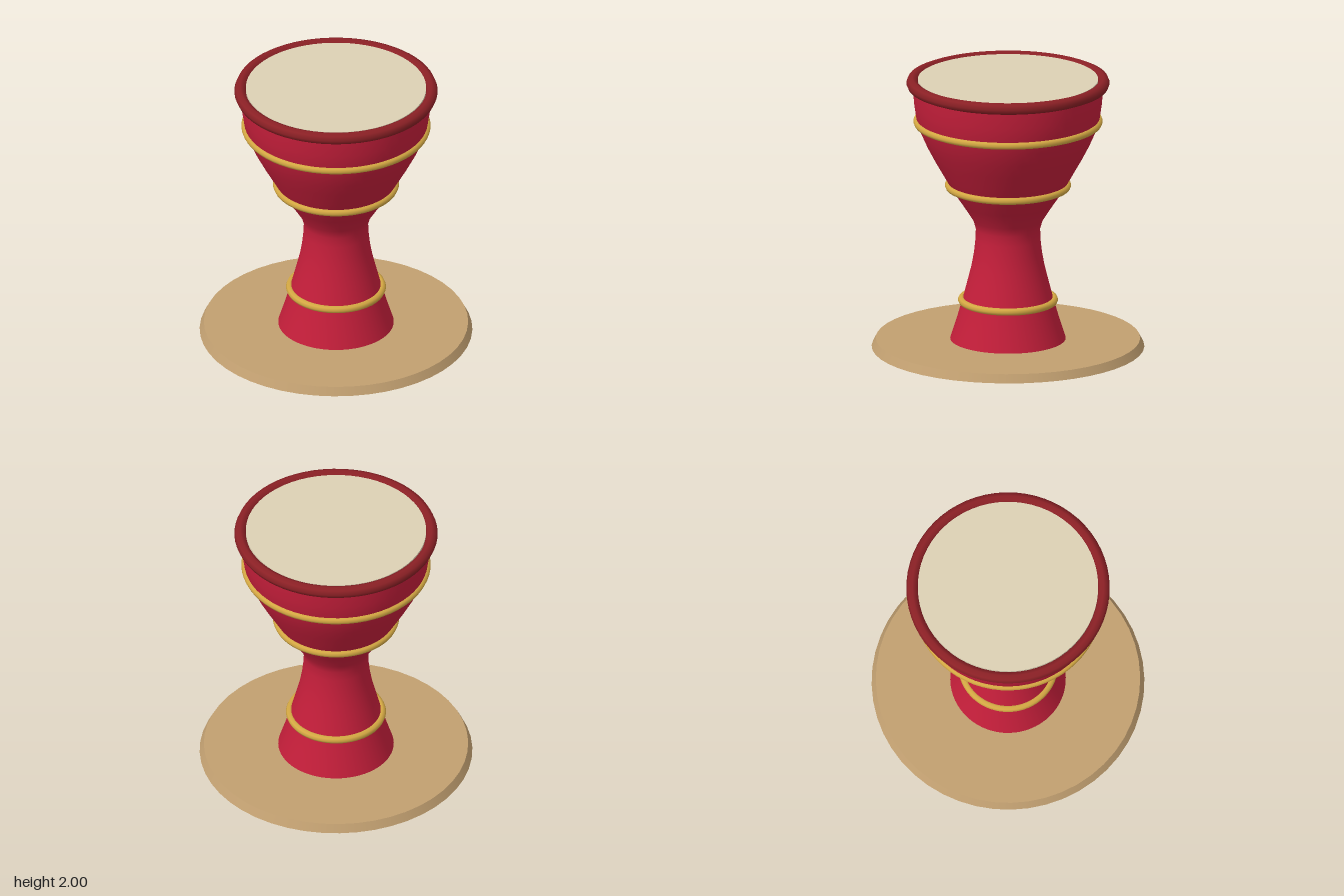
import * as THREE from 'three';

const mat = (name, color) => {
  const m = new THREE.MeshStandardMaterial({ color });
  m.name = name;
  return m;
};

export function createModel() {
  const group = new THREE.Group();
  const red = mat('crimson', 0xc41e3a);
  const darkRed = mat('dark red', 0x8b2025);
  const gold = mat('gold', 0xd4a843);
  const tan = mat('tan wood', 0xc19f70);
  const skin = mat('drum skin', 0xdcd0b4);

  const add = (name, geometry, material, y) => {
    const mesh = new THREE.Mesh(geometry, material);
    mesh.name = name;
    mesh.position.y = y;
    group.add(mesh);
    return mesh;
  };

  // Horizontal ring around the body
  const ring = (name, radius, tube, material, y) =>
    add(name, new THREE.TorusGeometry(radius, tube, 8, 64).rotateX(Math.PI / 2), material, y);

  // Flat bevelled base
  add('base', new THREE.CylinderGeometry(0.945, 0.975, 0.06, 48), tan, 0.03);

  // Goblet-shaped body: flared foot, narrow neck, wide bowl
  const profile = [
    [0.413, 0.06], [0.368, 0.2], [0.322, 0.36], [0.286, 0.5], [0.261, 0.6],
    [0.243, 0.7], [0.232, 0.8], [0.23, 0.875], [0.248, 0.94], [0.322, 1.055],
    [0.397, 1.165], [0.465, 1.285], [0.53, 1.4], [0.582, 1.5], [0.626, 1.6],
    [0.656, 1.7], [0.671, 1.8], [0.679, 1.9], [0.68, 1.96],
  ].map(([r, y]) => new THREE.Vector2(r, y));
  add('body', new THREE.LatheGeometry(profile, 64), red, 0);

  // Gold bands
  ring('footBand', 0.331, 0.027, gold, 0.346);
  ring('lowerBowlBand', 0.425, 0.027, gold, 1.197);
  ring('upperBowlBand', 0.65, 0.027, gold, 1.672);

  // Rim and drum head
  ring('rim', 0.684, 0.043, darkRed, 1.957);
  add('drumHead', new THREE.CylinderGeometry(0.645, 0.645, 0.03, 64), skin, 1.97);

  return group;
}
